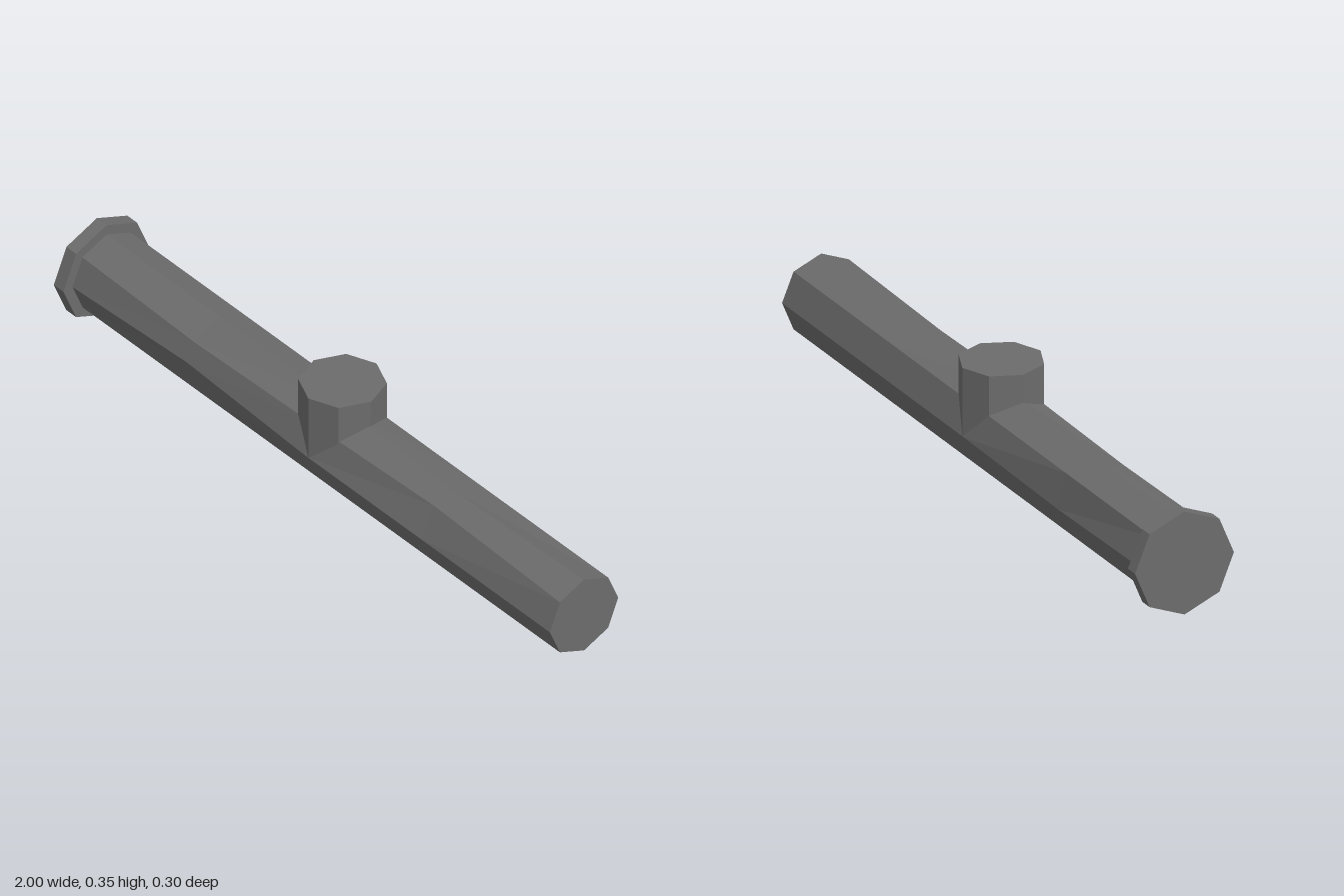
import * as THREE from 'three';

const AXIS_Y = 0.151, R = 0.118, SIDES = 8;

// Octagonal pipe: rings along x, with a few corners nudged to give shallow dents.
// Corner 0 is the top, 2 the front, 4 the bottom, 6 the back.
function pipeGeometry() {
  const rings = [
    { x: -0.98 },
    { x: -0.5, dents: { 1: [-0.01, 0.003], 2: [0.017, -0.007], 4: [0.014, -0.035], 6: [-0.015, 0.009] } },
    { x: 0 },
    { x: 0.47, dents: { 0: [-0.004, 0.012], 1: [0.003, -0.013] } },
    { x: 1 },
  ];
  const pos = [];
  const point = (ring, j) => {
    const k = j % SIDES, a = (k / SIDES) * Math.PI * 2;
    const [dy, dz] = ring.dents?.[k] ?? [0, 0];
    return [ring.x, AXIS_Y + R * Math.cos(a) + dy, R * Math.sin(a) + dz];
  };
  const tri = (a, b, c) => pos.push(...a, ...b, ...c);
  const first = rings[0], last = rings[rings.length - 1];
  for (let j = 0; j < SIDES; j++) {
    for (let i = 0; i < rings.length - 1; i++) {
      const a = point(rings[i], j), b = point(rings[i + 1], j);
      const c = point(rings[i + 1], j + 1), d = point(rings[i], j + 1);
      tri(a, d, b);
      tri(d, c, b);
    }
    // end caps
    tri([last.x, AXIS_Y, 0], point(last, j), point(last, j + 1));
    tri([first.x, AXIS_Y, 0], point(first, j + 1), point(first, j));
  }
  const g = new THREE.BufferGeometry();
  g.setAttribute('position', new THREE.Float32BufferAttribute(pos, 3));
  g.computeVertexNormals();
  return g;
}

export function createModel() {
  const group = new THREE.Group();
  group.name = 'pipeTee';
  const metal = new THREE.MeshStandardMaterial({ color: 0x6c6c6c });
  metal.name = 'darkGreyMetal';

  const add = (name, geometry) => {
    const flat = geometry.index ? geometry.toNonIndexed() : geometry;
    flat.computeVertexNormals();
    const mesh = new THREE.Mesh(flat, metal);
    mesh.name = name;
    group.add(mesh);
    return mesh;
  };

  add('mainPipe', pipeGeometry());

  // Collar on the right end
  const flange = add('endFlange', new THREE.CylinderGeometry(0.149, 0.149, 0.04, SIDES));
  flange.rotation.z = Math.PI / 2;
  flange.position.set(-0.98, AXIS_Y, 0);

  // Upright branch, its lower end buried in the pipe
  const top = 0.349;
  const branch = add('branchPipe', new THREE.CylinderGeometry(R, R, top - AXIS_Y, SIDES));
  branch.position.set(0.008, (top + AXIS_Y) / 2, 0);

  return group;
}
